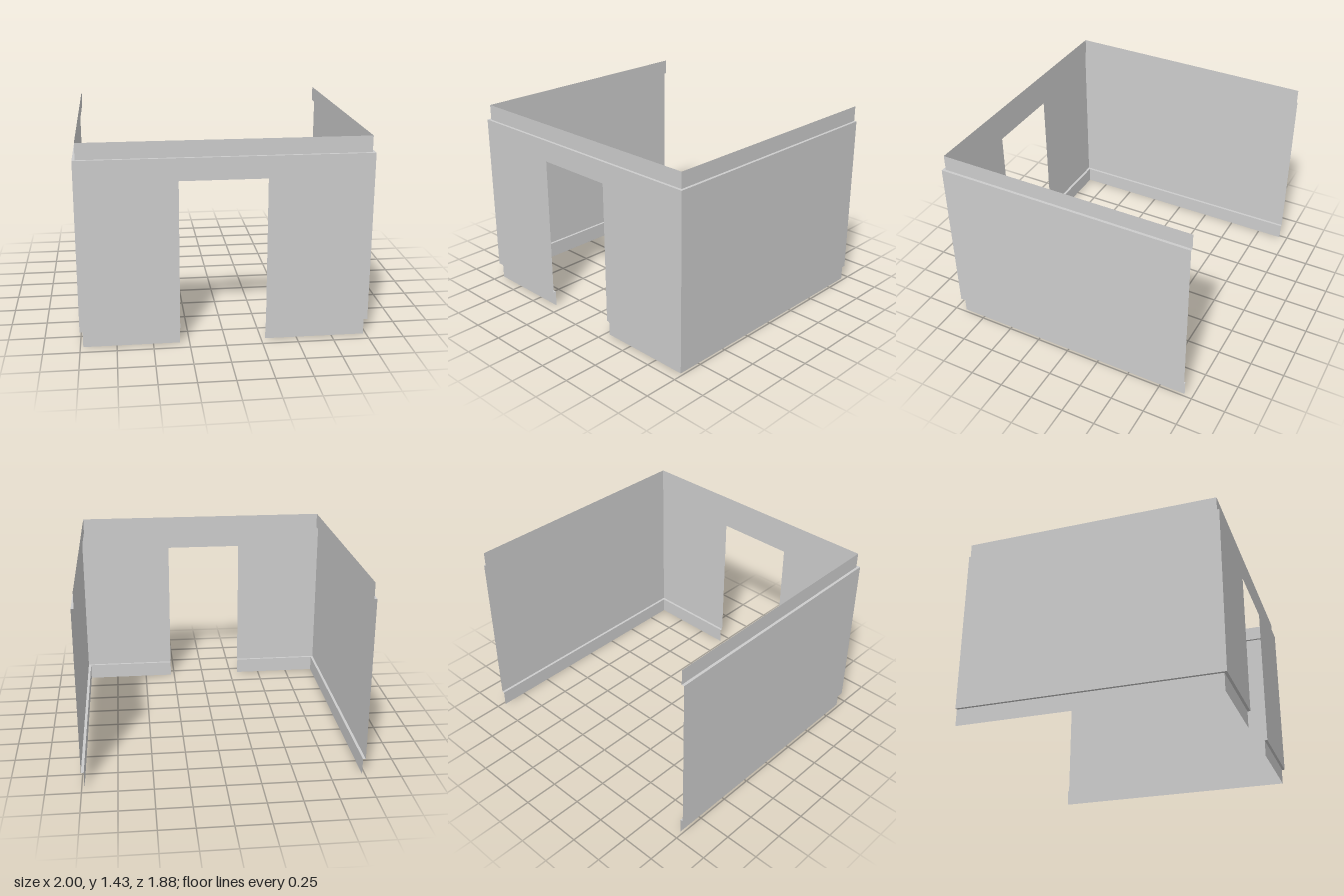
import * as THREE from 'three';

const HALF_X = 1, HALF_Z = 0.94, INSET = 0.02;
const DOOR_MIN = -0.315, DOOR_MAX = 0.28, DOOR_TOP = 1.165;

// Upright wall profile as [inset, height]: skirting, ledge, main face, ledge, top strip
const PROFILE = [[INSET, 0], [INSET, 0.12], [0, 0.12], [0, 1.32], [INSET, 1.32], [INSET, 1.433]];
const LINTEL = [[0, DOOR_TOP], ...PROFILE.slice(3)];

// Plan paths [x, z] for a given inset, running so the outside faces outward
const leftPlan = d => [[DOOR_MAX, HALF_Z - d], [HALF_X - d, HALF_Z - d], [HALF_X - d, -HALF_Z]];
const rightPlan = d => [[-HALF_X + d, -HALF_Z], [-HALF_X + d, HALF_Z - d], [DOOR_MIN, HALF_Z - d]];
const lintelPlan = d => [[DOOR_MIN, HALF_Z - d], [DOOR_MAX, HALF_Z - d]];

// Sweeps a profile along a plan path as a thin sheet with hard edges
function wall(name, plan, profile, material) {
  const pos = [];
  const point = (i, j) => {
    const [d, y] = profile[j];
    const [x, z] = plan(d)[i];
    return [x, y, z];
  };
  for (let i = 0; i < plan(0).length - 1; i++) {
    for (let j = 0; j < profile.length - 1; j++) {
      const a = point(i, j), b = point(i + 1, j), c = point(i + 1, j + 1), d = point(i, j + 1);
      pos.push(...a, ...b, ...c, ...a, ...c, ...d);
    }
  }
  const geometry = new THREE.BufferGeometry();
  geometry.setAttribute('position', new THREE.Float32BufferAttribute(pos, 3));
  geometry.computeVertexNormals();
  const mesh = new THREE.Mesh(geometry, material);
  mesh.name = name;
  return mesh;
}

export function createModel() {
  const group = new THREE.Group();
  group.name = 'roomWalls';
  const material = new THREE.MeshStandardMaterial({ color: 0xcccccc, side: THREE.DoubleSide });
  group.add(
    wall('leftWall', leftPlan, PROFILE, material),
    wall('rightWall', rightPlan, PROFILE, material),
    wall('doorLintel', lintelPlan, LINTEL, material)
  );
  return group;
}
